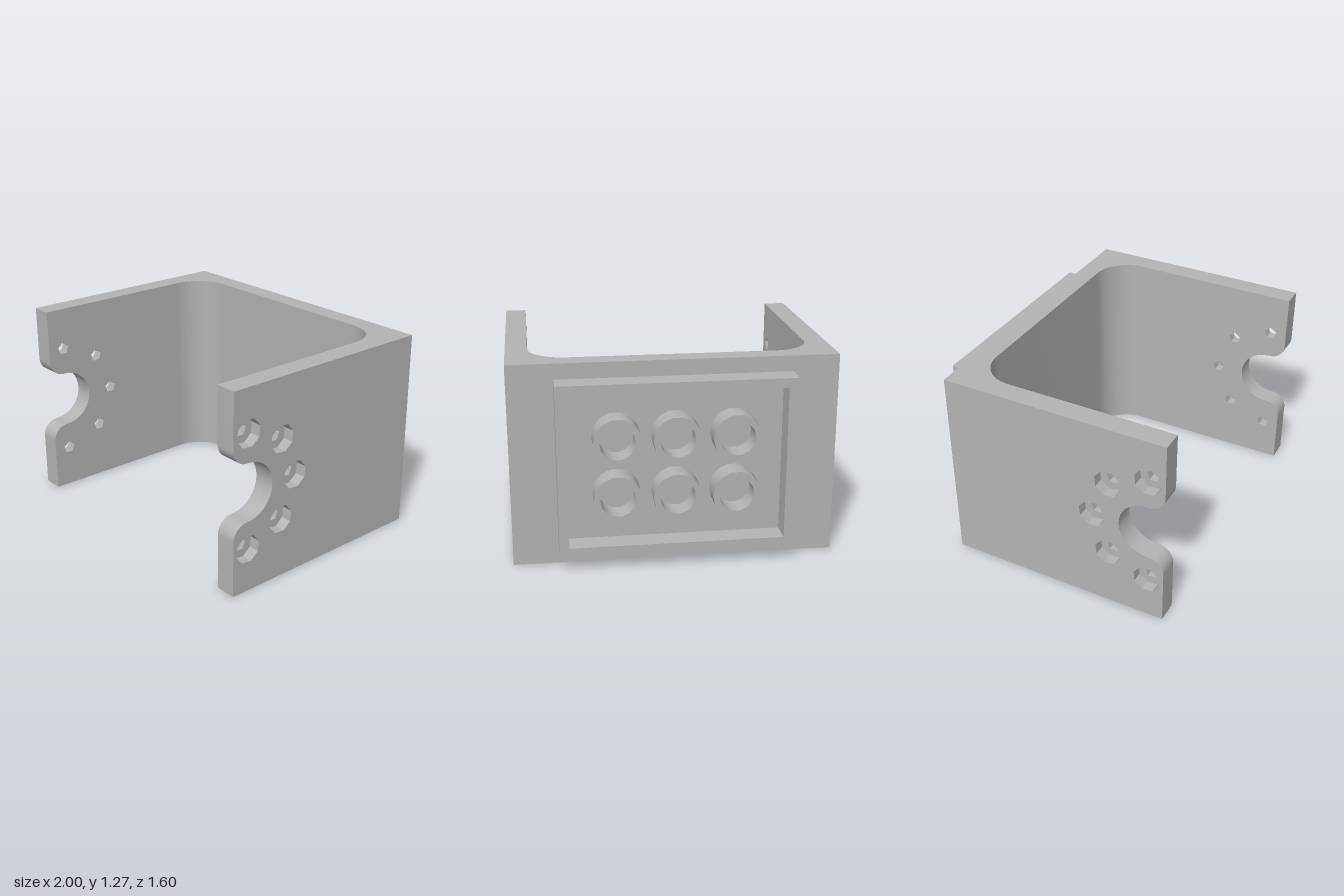
import * as THREE from 'three';
import { toCreasedNormals } from 'three/addons/utils/BufferGeometryUtils.js';

const H = 1.275, MID = H / 2;      // bracket height and mid height
const INNER = 0.865;               // inner face of the side walls
const BACK = 0.655;                // distance of the back face behind the centre
const FILLET = 0.23;               // inside corner radius
const JOIN = 0.525 - FILLET;       // where the side walls meet the back section
const PIVOT = 0.69;                // z of the centre of notch and hole circle

const grey = new THREE.MeshStandardMaterial({ color: 0xb3b3b3 });
grey.name = 'plain grey';

function extrude(shape, depth, curveSegments = 8) {
  return new THREE.ExtrudeGeometry(shape, { depth, curveSegments, bevelEnabled: false });
}

function part(name, geometry) {
  const mesh = new THREE.Mesh(toCreasedNormals(geometry, 0.6), grey);
  mesh.name = name;
  return mesh;
}

function polygonHole(cx, cy, r, sides) {
  const points = [];
  for (let i = 0; i < sides; i++) {
    const a = (-i / sides) * Math.PI * 2 + 0.3;
    points.push(new THREE.Vector2(cx + r * Math.cos(a), cy + r * Math.sin(a)));
  }
  return new THREE.Path(points);
}

// Side wall outline (x = -z of the model) with a rounded notch and five holes
function wallShape(holeRadius, holeSides) {
  const s = new THREE.Shape();
  const r = 0.185, f = 0.1;
  s.moveTo(-0.8, 0);
  s.lineTo(JOIN, 0);
  s.lineTo(JOIN, H);
  s.lineTo(-0.8, H);
  s.absarc(-0.8 + f, MID + r + f, f, Math.PI, Math.PI * 1.5, false);
  s.absarc(-PIVOT, MID, r, Math.PI / 2, -Math.PI / 2, true);
  s.absarc(-0.8 + f, MID - r - f, f, Math.PI / 2, Math.PI, false);
  s.closePath();
  for (let i = -2; i <= 2; i++) {
    const a = i * Math.PI / 4;
    s.holes.push(polygonHole(-PIVOT + 0.363 * Math.cos(a), MID + 0.363 * Math.sin(a), holeRadius, holeSides));
  }
  return s;
}

function wallLayer(name, x0, x1, holeRadius, holeSides) {
  const g = extrude(wallShape(holeRadius, holeSides), x1 - x0);
  g.rotateY(Math.PI / 2);
  g.translate(x0, 0, 0);
  return part(name, g);
}

export function createModel() {
  const model = new THREE.Group();
  model.name = 'bracket';

  // Back section with rounded inside corners
  const u = new THREE.Shape();
  u.moveTo(-1, JOIN);
  u.lineTo(-INNER, JOIN);
  u.absarc(-INNER + FILLET, JOIN, FILLET, Math.PI, Math.PI / 2, true);
  u.absarc(INNER - FILLET, JOIN, FILLET, Math.PI / 2, 0, true);
  u.lineTo(1, JOIN);
  u.lineTo(1, BACK);
  u.lineTo(-1, BACK);
  u.closePath();
  const back = extrude(u, H);
  back.rotateX(-Math.PI / 2);
  model.add(part('backSection', back));

  // Side walls: small through holes inside, wide recesses outside
  const step = 0.93;
  model.add(
    wallLayer('leftWallInner', INNER, step, 0.042, 5),
    wallLayer('leftWallOuter', step, 1, 0.089, 8),
    wallLayer('rightWallInner', -step, -INNER, 0.042, 5),
    wallLayer('rightWallOuter', -1, -step, 0.089, 8)
  );

  // Raised rectangular rim on the back
  const w = 0.72, h = 0.54, t = 0.06, depth = 0.8 - BACK;
  const rect = (Type, a, b) => new Type([[-a, -b], [a, -b], [a, b], [-a, b]].map(p => new THREE.Vector2(...p)));
  const rim = rect(THREE.Shape, w, h);
  rim.holes.push(rect(THREE.Path, w - t, h - t));
  const rimGeometry = extrude(rim, depth);
  rimGeometry.translate(0, MID, -0.8);
  model.add(part('backRim', rimGeometry));

  // Six tubes inside the rim
  const tubes = new THREE.Group();
  tubes.name = 'tubes';
  const ring = new THREE.Shape();
  ring.absarc(0, 0, 0.147, 0, Math.PI * 2, false);
  const bore = new THREE.Path();
  bore.absarc(0, 0, 0.108, 0, Math.PI * 2, true);
  ring.holes.push(bore);
  for (const x of [-0.36, 0, 0.36]) {
    for (const y of [-0.18, 0.18]) {
      const g = extrude(ring, depth, 7);
      g.translate(x, MID + y, -0.8);
      tubes.add(part('tube', g));
    }
  }
  model.add(tubes);
  return model;
}
